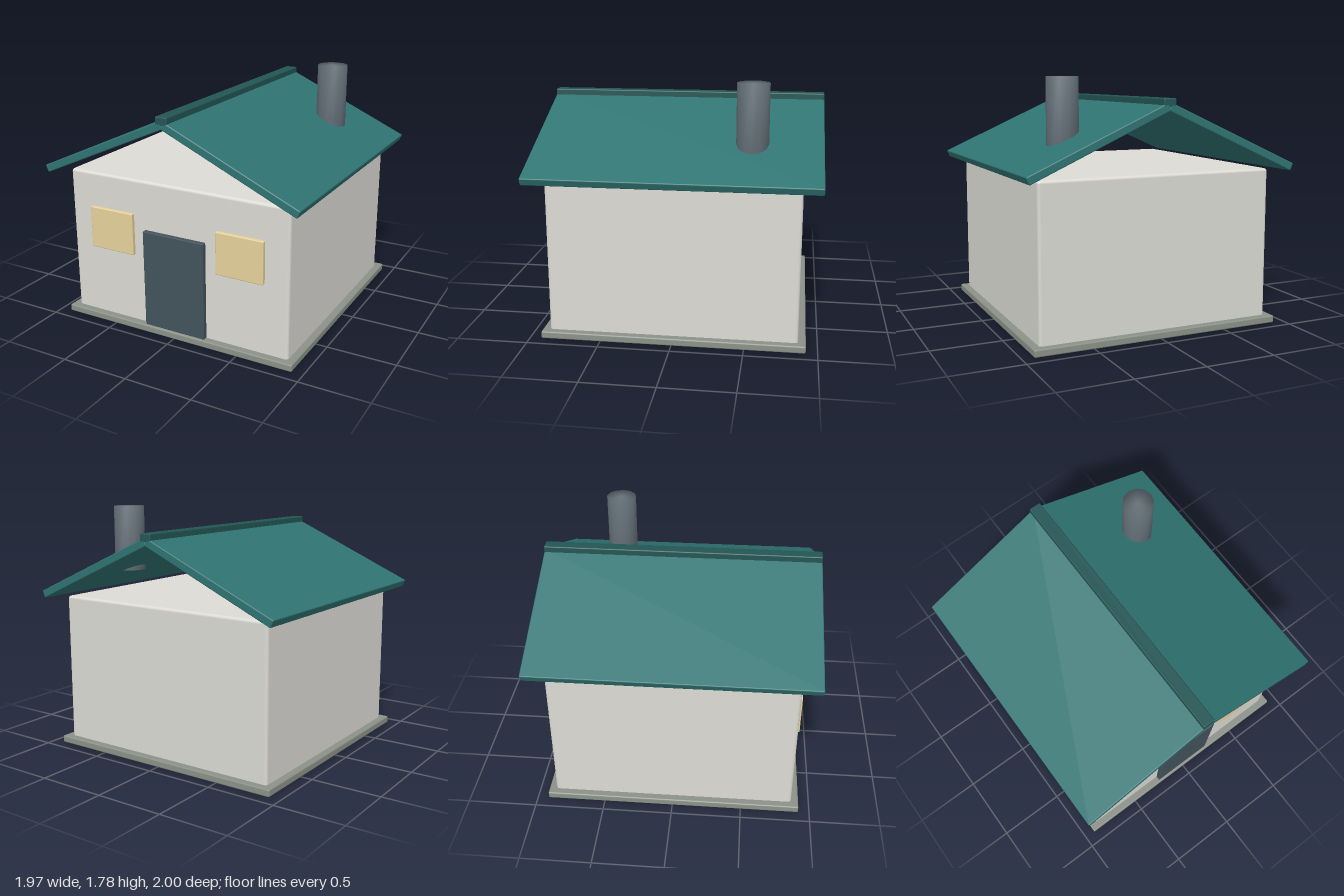
import * as THREE from 'three';
import { RoundedBoxGeometry } from 'three/addons/geometries/RoundedBoxGeometry.js';
import { mergeVertices } from 'three/addons/utils/BufferGeometryUtils.js';

const material = (color) => new THREE.MeshStandardMaterial({ color });
const wallMat = material(0xdcdbd5);
const baseMat = material(0x8b9188);
const roofMat = material(0x2f7472);
const ridgeMat = material(0x235654);
const doorMat = material(0x43535d);
const windowMat = material(0xe6d29a);
const chimneyMat = material(0x66727a);

// Box with softened edges spanning two opposite corners
function block(name, min, max, radius, mat) {
  const size = max.map((v, i) => v - min[i]);
  const mesh = new THREE.Mesh(new RoundedBoxGeometry(...size, 2, radius), mat);
  mesh.position.set(...max.map((v, i) => (v + min[i]) / 2));
  mesh.name = name;
  return mesh;
}

export function createModel() {
  const house = new THREE.Group();
  house.name = 'house';

  // Plinth and walls
  house.add(block('base', [-0.92, 0, -0.92], [0.92, 0.052, 0.92], 0.01, baseMat));
  house.add(block('walls', [-0.868, 0.01, -0.868], [0.868, 1.127, 0.868], 0.022, wallMat));

  // Door and the window on each side of it
  house.add(block('door', [-0.243, 0.05, 0.84], [0.243, 0.77, 0.902], 0.006, doorMat));
  for (const side of [-1, 1]) {
    const x = side * 0.512;
    house.add(block(side > 0 ? 'leftWindow' : 'rightWindow',
      [x - 0.179, 0.567, 0.84], [x + 0.179, 0.875, 0.895], 0.006, windowMat));
  }

  // Two sloping roof slabs meeting at the ridge
  const pitch = 0.42, length = 1.07, thickness = 0.056;
  for (const side of [-1, 1]) {
    const slab = new THREE.Mesh(new RoundedBoxGeometry(length, thickness, 2, 2, 0.008), roofMat);
    slab.name = side > 0 ? 'leftRoofSlab' : 'rightRoofSlab';
    slab.position.set(side * 0.489, 1.362, 0);
    slab.rotation.z = -side * pitch;
    house.add(slab);
  }
  house.add(block('ridgeCap', [-0.045, 1.575, -1], [0.045, 1.635, 1], 0.008, ridgeMat));

  // Chimney, shaded smoothly across its rims
  let tube = new THREE.CylinderGeometry(0.112, 0.112, 0.465, 12);
  tube.deleteAttribute('normal');
  tube.deleteAttribute('uv');
  tube = mergeVertices(tube);
  tube.computeVertexNormals();
  const chimney = new THREE.Mesh(tube, chimneyMat);
  chimney.name = 'chimney';
  chimney.position.set(0.56, 1.543, -0.515);
  house.add(chimney);

  return house;
}
